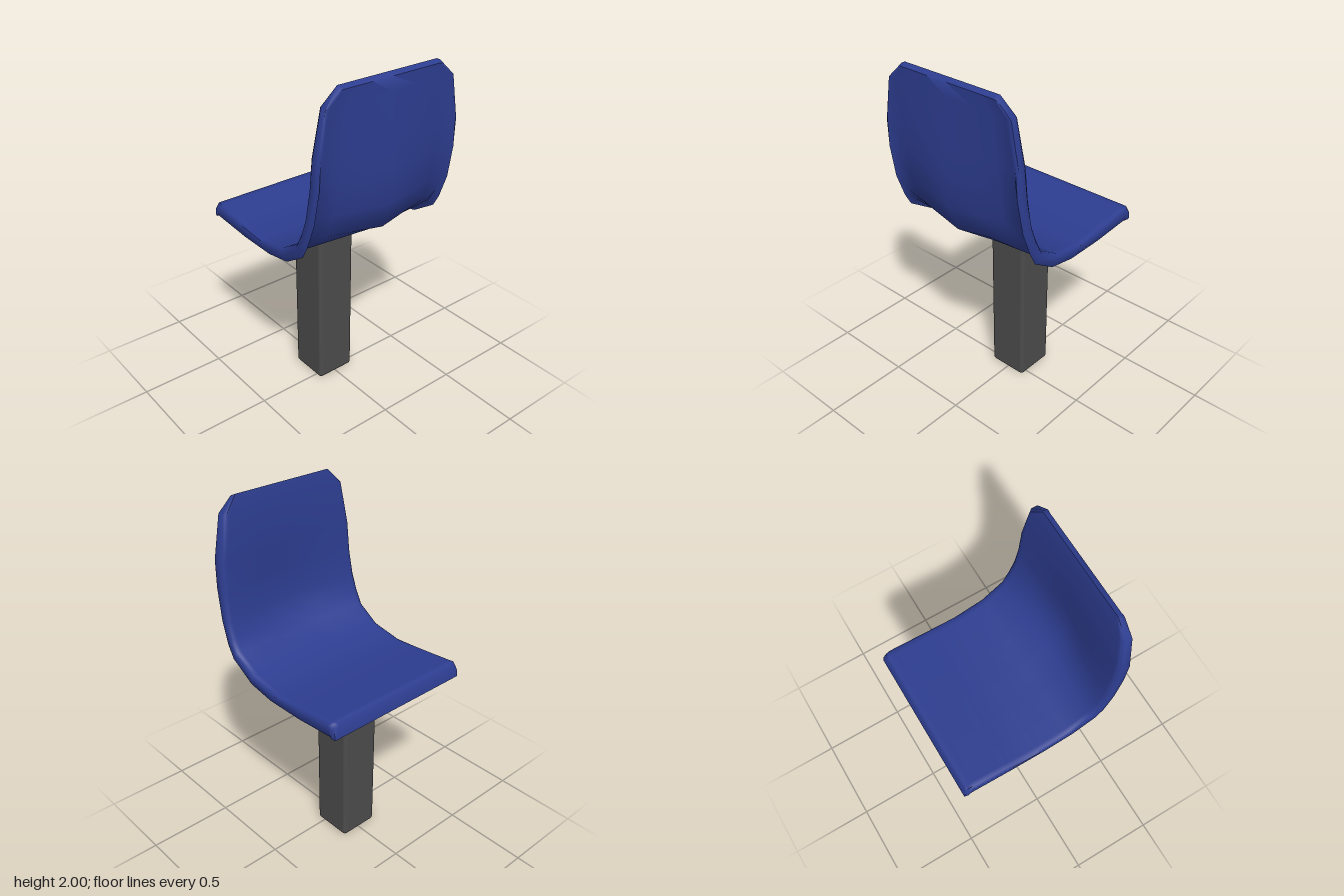
import * as THREE from 'three';
import { toCreasedNormals } from 'three/addons/utils/BufferGeometryUtils.js';
import { RoundedBoxGeometry } from 'three/addons/geometries/RoundedBoxGeometry.js';

// Stations from the seat's free edge, around the bend, to the top of the backrest:
// sitting face, side rim, thin underside (each z, y), half width, bulge of the middle (z, y)
const STATIONS = [
  { face: [-0.466, 1.085], rim: [-0.478, 1.02], back: [-0.478, 1.02], w: 0.452, bulge: [0, 0] },
  { face: [-0.45, 1.104], rim: [-0.46, 1.018], back: [-0.455, 1.022], w: 0.456, bulge: [0, 0] },
  { face: [-0.42, 1.10], rim: [-0.43, 1.015], back: [-0.44, 1.062], w: 0.457, bulge: [0, 0] },
  { face: [-0.20, 1.08], rim: [-0.19, 1.0], back: [-0.20, 1.052], w: 0.459, bulge: [0, 0] },
  { face: [-0.02, 1.066], rim: [0.04, 1.0], back: [0.0, 1.045], w: 0.46, bulge: [0, 0] },
  { face: [0.17, 1.10], rim: [0.20, 1.03], back: [0.18, 1.07], w: 0.462, bulge: [0.005, -0.005] },
  { face: [0.30, 1.18], rim: [0.34, 1.12], back: [0.32, 1.15], w: 0.465, bulge: [0.02, -0.02] },
  { face: [0.34, 1.26], rim: [0.378, 1.19], back: [0.365, 1.225], w: 0.465, bulge: [0.055, -0.05] },
  { face: [0.37, 1.35], rim: [0.43, 1.33], back: [0.405, 1.345], w: 0.461, bulge: [0.073, -0.015] },
  { face: [0.39, 1.50], rim: [0.463, 1.52], back: [0.44, 1.51], w: 0.454, bulge: [0.038, 0.01] },
  { face: [0.40, 1.67], rim: [0.467, 1.67], back: [0.455, 1.67], w: 0.447, bulge: [0.02, 0] },
  { face: [0.41, 1.91], rim: [0.463, 1.91], back: [0.458, 1.91], w: 0.402, bulge: [0.003, 0] },
  { face: [0.43, 2.0], rim: [0.462, 1.985], back: [0.46, 1.985], w: 0.32, bulge: [0, 0] },
];
const ACROSS = [-1, -0.97, -0.92, -0.7, -0.4, 0, 0.4, 0.7, 0.92, 0.97, 1];

function shellGeometry() {
  const n = ACROSS.length, loop = 2 * n;
  const positions = [], index = [];
  const quad = (a, b, c, d) => index.push(a, b, c, a, c, d);
  const blend = (p, q, t) => [p[0] + (q[0] - p[0]) * t, p[1] + (q[1] - p[1]) * t];

  for (const { face, rim, back, w, bulge } of STATIONS) {
    const add = (u, [z, y], amount) => {
      const k = amount * Math.max(0, 1 - Math.abs(u) / 0.92);
      positions.push(u * w, y + bulge[1] * k, z + bulge[0] * k);
    };
    // sitting face, eased back at its outer edges
    for (const u of ACROSS) add(u, Math.abs(u) === 1 ? blend(face, back, 0.35) : face, 0.7);
    // underside and rear, with a rounded rim along both sides
    for (const u of [...ACROSS].reverse()) {
      const side = Math.abs(u);
      add(u, side === 1 ? blend(back, rim, 0.4) : side > 0.95 ? rim : back, 1);
    }
  }
  for (let i = 0; i < STATIONS.length - 1; i++) {
    for (let j = 0; j < loop; j++) {
      const a = i * loop + j, b = i * loop + (j + 1) % loop;
      quad(a, a + loop, b + loop, b);
    }
  }
  // end edges
  const last = (STATIONS.length - 1) * loop;
  for (let j = 0; j < n - 1; j++) {
    const k = loop - 1 - j;
    quad(j, j + 1, k - 1, k);
    quad(last + j, last + k, last + k - 1, last + j + 1);
  }
  const geometry = new THREE.BufferGeometry();
  geometry.setAttribute('position', new THREE.Float32BufferAttribute(positions, 3));
  geometry.setIndex(index);
  return toCreasedNormals(geometry, 1.1);
}

export function createModel() {
  const model = new THREE.Group();
  model.name = 'pedestalSeat';

  // one-piece seat and backrest
  const shell = new THREE.Mesh(shellGeometry(),
    new THREE.MeshStandardMaterial({ color: 0x2d3d90, side: THREE.DoubleSide }));
  shell.name = 'seatShell';
  model.add(shell);

  // square post with softened corners
  const post = new THREE.Mesh(new RoundedBoxGeometry(0.24, 1.056, 0.24, 2, 0.022),
    new THREE.MeshStandardMaterial({ color: 0x4c4c4c }));
  post.name = 'post';
  post.position.set(0, 0.528, -0.07);
  model.add(post);

  return model;
}
